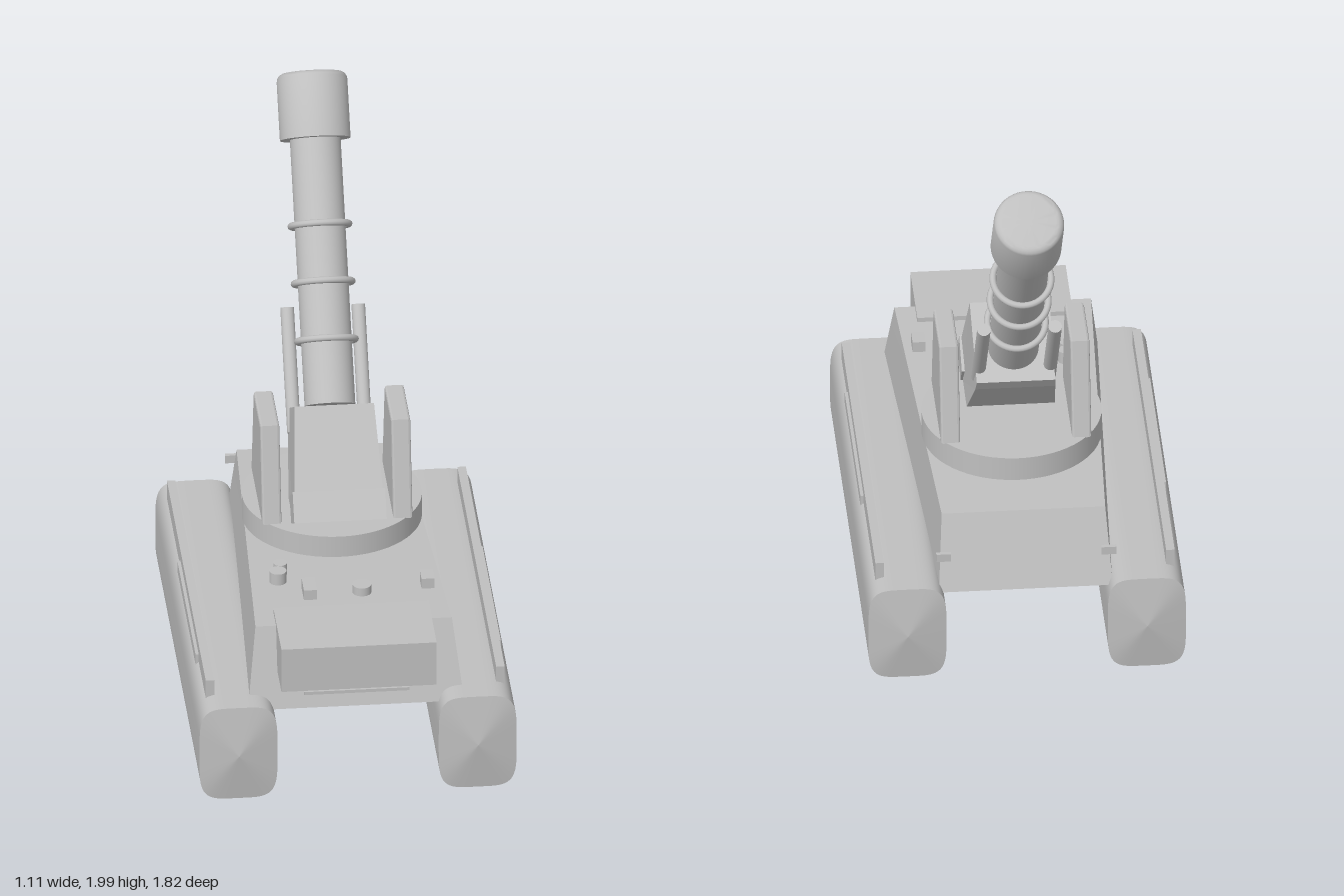
import * as THREE from 'three';
import { toCreasedNormals } from 'three/addons/utils/BufferGeometryUtils.js';

const paint = new THREE.MeshStandardMaterial({ color: 0xbfbfbf });
paint.name = 'light grey';

function add(parent, name, geometry, x = 0, y = 0, z = 0) {
  const mesh = new THREE.Mesh(geometry, paint);
  mesh.name = name;
  mesh.position.set(x, y, z);
  parent.add(mesh);
  return mesh;
}

const box = (w, h, d) => new THREE.BoxGeometry(w, h, d);
const cylinder = (r, h, n = 32) => new THREE.CylinderGeometry(r, r, h, n);

// Side profile given as [z, y] pairs, extruded across x and centred
function sideProfile(points, width, bevel = 0) {
  const shape = new THREE.Shape(points.map(([z, y]) => new THREE.Vector2(-z, y)));
  const depth = width - 2 * bevel;
  const geometry = new THREE.ExtrudeGeometry(shape, {
    depth, bevelEnabled: bevel > 0, bevelSize: bevel, bevelThickness: bevel,
    bevelOffset: -bevel, bevelSegments: 2,
  });
  geometry.translate(0, 0, -depth / 2);
  return geometry.rotateY(Math.PI / 2);
}

// Turns a unit circle around y into a rounded rectangle running along z
function squareOff(geometry, a, b) {
  const p = geometry.attributes.position;
  for (let i = 0; i < p.count; i++) {
    const x = p.getX(i), z = p.getZ(i);
    const bend = (v) => Math.sign(v) * Math.pow(Math.abs(v), 0.45);
    p.setXYZ(i, a * bend(x), p.getY(i), b * bend(z));
  }
  geometry.rotateX(Math.PI / 2);
  geometry.computeVertexNormals();
  return geometry;
}

function addTrack(parent, side) {
  const track = new THREE.Group();
  track.name = side > 0 ? 'leftTrack' : 'rightTrack';
  const a = 0.137, b = 0.181, length = 1.613;
  track.position.set(side * 0.42, 0.188, 0.067);
  add(track, 'trackBody', squareOff(new THREE.CylinderGeometry(1, 1, length, 64, 1, true), a, b));
  for (const end of [1, -1]) {
    const cap = squareOff(new THREE.ConeGeometry(1, 0.027, 64, 1, true), a, b);
    add(track, 'trackEnd', cap, 0, 0, end * (length / 2 + 0.0135)).rotation.y = end > 0 ? 0 : Math.PI;
  }
  parent.add(track);
  // Rail and short strip along the top of the track
  add(parent, 'trackRail', box(0.03, 0.085, 1.415), side * 0.51, 0.3825, 0.06);
  add(parent, 'trackStrip', box(0.022, 0.045, 0.665), side * 0.525, 0.3625, 0.18);
}

// Hull: box whose corners are moved to a tapered wedge
function hullGeometry() {
  const geometry = box(2, 2, 2);
  const p = geometry.attributes.position;
  for (let i = 0; i < p.count; i++) {
    const top = p.getY(i) > 0, front = p.getZ(i) > 0;
    const halfWidth = top ? (front ? 0.345 : 0.287) : (front ? 0.38 : 0.305);
    const y = top ? (front ? 0.6 : 0.575) : 0.315;
    const z = top ? (front ? 0.71 : -0.58) : (front ? 0.8 : -0.685);
    p.setXYZ(i, p.getX(i) * halfWidth, y, z);
  }
  geometry.computeVertexNormals();
  return geometry;
}

function addHull(parent) {
  add(parent, 'hull', hullGeometry());
  add(parent, 'frontBox', box(0.545, 0.17, 0.295), 0, 0.53, 0.76);
  [0.39, 0.41, 0.432].forEach((y, i) =>
    add(parent, 'grilleBar', box(0.37 - i * 0.015, 0.012, 0.012), 0, y, 0.825));
  // Deck fittings
  add(parent, 'deckKnob', cylinder(0.024, 0.05), -0.222, 0.613, 0.335);
  add(parent, 'deckKnob', cylinder(0.03, 0.05), -0.235, 0.613, 0.39);
  add(parent, 'deckHatch', cylinder(0.033, 0.04), 0.05, 0.608, 0.495);
  add(parent, 'deckBlock', box(0.045, 0.05, 0.09), -0.135, 0.61, 0.49);
  add(parent, 'deckBlock', box(0.045, 0.05, 0.065), 0.282, 0.61, 0.46);
  for (const side of [1, -1])
    add(parent, 'rearHook', box(0.052, 0.03, 0.016), side * 0.29, 0.473, -0.7);
}

function addMount(parent) {
  add(parent, 'turntable', cylinder(0.315, 0.09, 64), 0, 0.627, -0.082);
  for (const side of [1, -1]) {
    const bracket = sideProfile([[0.122, 0.67], [0.042, 1.022], [-0.202, 1.022], [-0.28, 0.67]], 0.068, 0.008);
    add(parent, 'sideBracket', bracket, side * 0.23);
  }
  // Breech block, widening towards its foot
  const block = sideProfile(
    [[0, 1.07], [0.165, 0.82], [0.1, 0.68], [-0.05, 0.67], [-0.24, 0.865], [-0.27, 0.91]], 2);
  const p = block.attributes.position;
  for (let i = 0; i < p.count; i++) {
    const t = THREE.MathUtils.clamp((1.07 - p.getY(i)) / 0.25, 0, 1);
    const rear = p.getZ(i) < -0.2 ? 0.012 : 0;
    p.setX(i, p.getX(i) * (0.14 + 0.015 * t - rear));
  }
  block.computeVertexNormals();
  add(parent, 'breechBlock', block);
  add(parent, 'breechPlate', sideProfile(
    [[0.172, 0.825], [0.235, 0.735], [0.12, 0.67], [0.06, 0.745]], 0.325));
}

function addBarrel(parent) {
  // Local +y runs along the bore, with the muzzle at the origin
  const gun = new THREE.Group();
  gun.name = 'barrelAssembly';
  gun.position.set(0, 1.94, -0.825);
  gun.rotation.x = THREE.MathUtils.degToRad(-35);
  add(gun, 'barrel', cylinder(0.089, 1.07, 48), 0, -0.635, 0);

  const profile = [new THREE.Vector2(0, -0.235), new THREE.Vector2(0.124, -0.235)];
  for (let i = 0; i <= 5; i++) {
    const a = (i / 5) * Math.PI / 2;
    profile.push(new THREE.Vector2(0.094 + 0.03 * Math.cos(a), -0.03 + 0.03 * Math.sin(a)));
  }
  profile.push(new THREE.Vector2(0, 0));
  add(gun, 'muzzleCap', toCreasedNormals(new THREE.LatheGeometry(profile, 48), 0.7));

  for (const t of [0.537, 0.739, 0.942])
    add(gun, 'barrelRing', new THREE.TorusGeometry(0.102, 0.012, 10, 48).rotateX(Math.PI / 2), 0, -t, 0);
  parent.add(gun);

  // Recoil rods beneath the barrel
  for (const side of [1, -1]) {
    const rod = add(parent, 'recoilRod', cylinder(0.024, 0.44, 20), side * 0.125, 1.05, -0.293);
    rod.rotation.x = gun.rotation.x;
  }
}

export function createModel() {
  const model = new THREE.Group();
  model.name = 'selfPropelledGun';
  addTrack(model, 1);
  addTrack(model, -1);
  addHull(model);
  addMount(model);
  addBarrel(model);
  return model;
}
